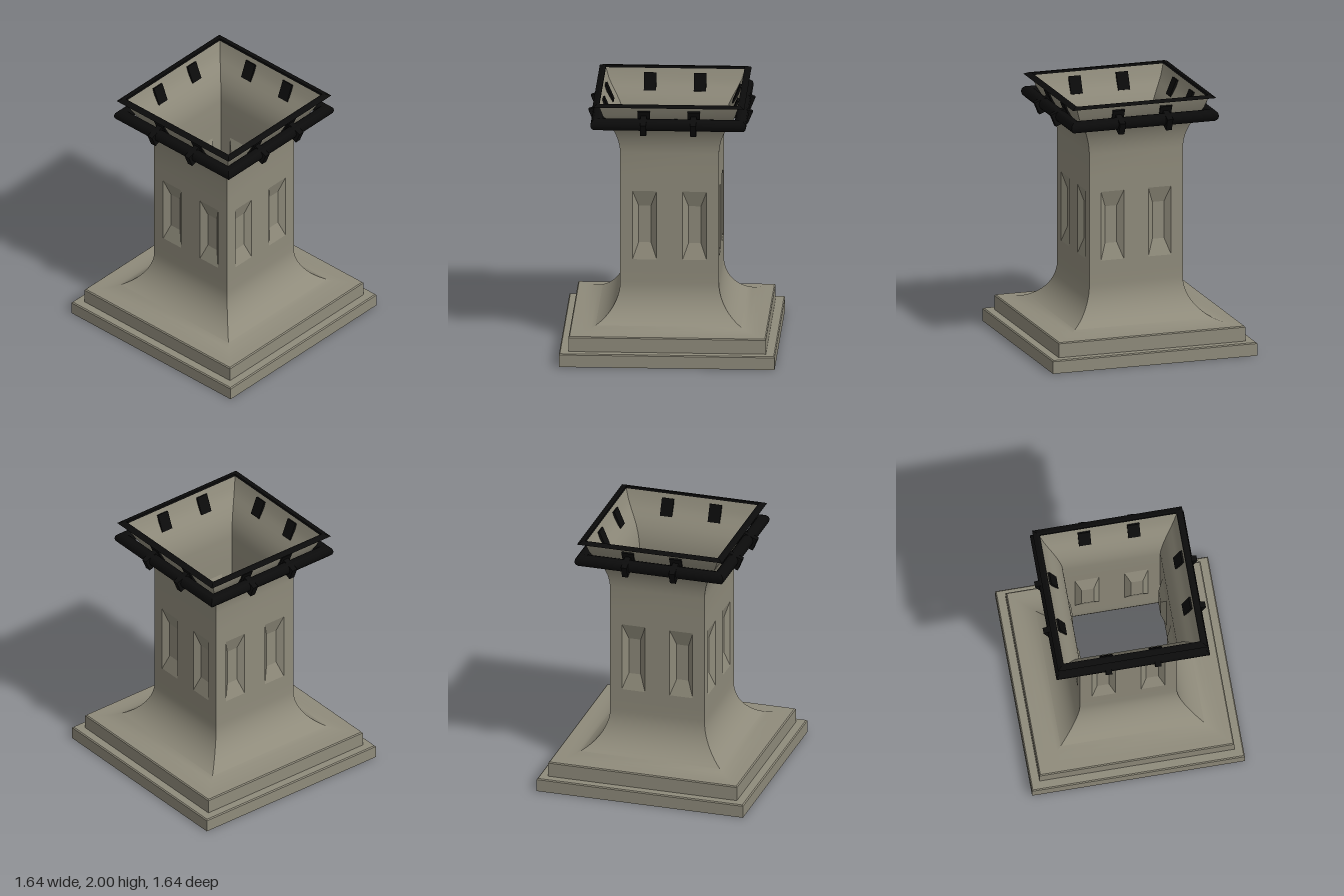
import * as THREE from 'three';
import { mergeGeometries, toCreasedNormals } from 'three/addons/utils/BufferGeometryUtils.js';

const stone = new THREE.MeshStandardMaterial({ color: 0x8f8b7b, side: THREE.DoubleSide });
const black = new THREE.MeshStandardMaterial({ color: 0x0b0b0b });

const FACE = 0.375;                 // half width of the shaft
const PANEL_LOW = 0.635, PANEL_HIGH = 1.375;

// Geometry from a list of four-cornered faces
function quads(list) {
  const pos = [];
  for (const [a, b, c, d] of list) pos.push(...a, ...b, ...c, ...a, ...c, ...d);
  const geo = new THREE.BufferGeometry();
  geo.setAttribute('position', new THREE.Float32BufferAttribute(pos, 3));
  return geo;
}

// Sweep a profile of [half width, height] points round a square with mitred corners
function squareSweep(profile, closed = false, crease = 0.6) {
  const pts = closed ? [...profile, profile[0]] : profile;
  const faces = [];
  for (let i = 0; i < pts.length - 1; i++) {
    const [h0, y0] = pts[i], [h1, y1] = pts[i + 1];
    faces.push([[-h0, y0, h0], [h0, y0, h0], [h1, y1, h1], [-h1, y1, h1]]);
  }
  const sides = [0, 1, 2, 3].map((k) => quads(faces).rotateY(k * Math.PI / 2));
  return toCreasedNormals(mergeGeometries(sides), crease);
}

function mesh(name, geo, mat, parent) {
  const m = new THREE.Mesh(geo, mat);
  m.name = name;
  parent.add(m);
  return m;
}

// Flat shaft face with two openings
function panelGeometry() {
  const rect = (T, x0, y0, x1, y1) => {
    const s = new T();
    s.moveTo(x0, y0).lineTo(x1, y0).lineTo(x1, y1).lineTo(x0, y1).closePath();
    return s;
  };
  const shape = rect(THREE.Shape, -FACE, PANEL_LOW, FACE, PANEL_HIGH);
  for (const x of [-0.19, 0.19]) {
    shape.holes.push(rect(THREE.Path, x - 0.092, 0.73, x + 0.092, 1.27));
  }
  return new THREE.ShapeGeometry(shape).translate(0, 0, FACE);
}

// Sloped recess behind an opening
function recessGeometry() {
  const ring = (w, h, z) => [[-w, -h, z], [w, -h, z], [w, h, z], [-w, h, z]];
  const o = ring(0.092, 0.27, 0), i = ring(0.047, 0.145, -0.037);
  const faces = o.map((p, k) => [p, o[(k + 1) % 4], i[(k + 1) % 4], i[k]]);
  const geo = quads([...faces, i]);
  geo.computeVertexNormals();
  return geo;
}

export function createModel() {
  const model = new THREE.Group();
  model.name = 'squarePedestal';

  // Stepped plinth and curved foot
  const foot = [
    [0.82, 0], [0.82, 0.095], [0.812, 0.103], [0.75, 0.103],
    [0.75, 0.212], [0.742, 0.22],
  ];
  for (let i = 0; i <= 14; i++) {
    const a = (i / 14) * Math.PI / 2;
    foot.push([0.69 - 0.315 * Math.sin(a), 0.55 - 0.328 * Math.cos(a)]);
  }
  foot.push([FACE, PANEL_LOW]);
  mesh('plinthAndFoot', squareSweep(foot), stone, model);

  // Flared hopper above the shaft
  const hopper = [
    [FACE, PANEL_HIGH], [FACE, 1.57], [0.38, 1.625], [0.392, 1.68], [0.413, 1.74],
    [0.445, 1.8], [0.475, 1.85], [0.502, 1.9], [0.53, 1.985],
  ];
  mesh('hopper', squareSweep(hopper), stone, model);

  // Thin bevelled rim
  mesh('rim', squareSweep([[0.527, 1.98], [0.577, 1.984], [0.545, 2], [0.527, 2]], true, 0.2), black, model);

  // Round rail circling the hopper
  const rail = [];
  for (let i = 0; i < 12; i++) {
    const a = (i / 12) * Math.PI * 2;
    rail.push([0.545 + 0.047 * Math.cos(a), 1.845 + 0.047 * Math.sin(a)]);
  }
  mesh('rail', squareSweep(rail, true, 0.7), black, model);

  // Four matching sides: panel, recesses and rail brackets
  const panel = panelGeometry(), recess = recessGeometry();
  const plate = new THREE.BoxGeometry(0.094, 0.14, 0.03);
  const clip = new THREE.BoxGeometry(0.046, 0.1, 0.13);
  for (let k = 0; k < 4; k++) {
    const side = new THREE.Group();
    side.name = 'side';
    side.rotation.y = k * Math.PI / 2;
    model.add(side);
    mesh('panel', panel, stone, side);
    for (const x of [-0.19, 0.19]) {
      mesh('recess', recess, stone, side).position.set(x, 1, FACE);
      const p = mesh('bracketPlate', plate, black, side);
      p.position.set(x, 1.882, 0.49);
      p.rotation.x = 0.4;
      const c = mesh('railClip', clip, black, side);
      c.position.set(x, 1.839, 0.546);
      c.rotation.x = 0.39;
    }
  }
  return model;
}
